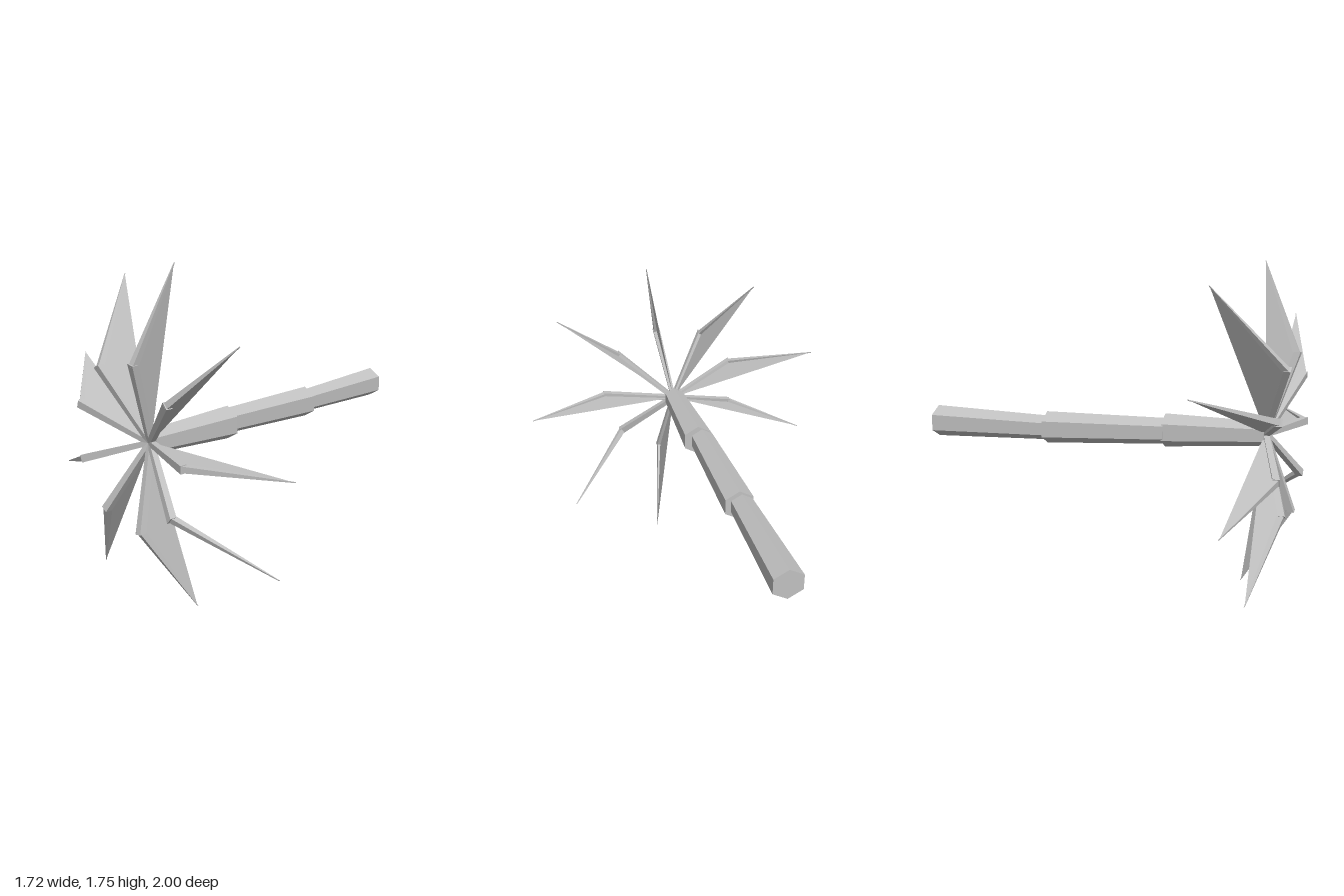
import * as THREE from 'three';

const grey = new THREE.MeshStandardMaterial({ color: 0xc0c0c0 });
grey.name = 'plain grey';
grey.flatShading = true;
const greyLeaf = grey;
greyLeaf.side = THREE.DoubleSide;

// Hexagonal trunk piece along z, sheared so its centre runs from a to b
function trunkPiece(a, ra, b, rb) {
  const len = b[2] - a[2];
  const g = new THREE.CylinderGeometry(rb, ra, len, 6).rotateX(Math.PI / 2);
  const p = g.attributes.position;
  for (let i = 0; i < p.count; i++) {
    const t = p.getZ(i) / len + 0.5;
    p.setXYZ(i,
      p.getX(i) + a[0] + (b[0] - a[0]) * t,
      p.getY(i) + a[1] + (b[1] - a[1]) * t,
      a[2] + len * t);
  }
  g.computeVertexNormals();
  return g;
}

// Four-sided bar between two sections { r, z, w, d }: radius, front z, width, depth
function bar(a, b) {
  const g = new THREE.BoxGeometry(1, 1, 1);
  const p = g.attributes.position;
  for (let i = 0; i < p.count; i++) {
    const s = p.getX(i) < 0 ? a : b;
    p.setXYZ(i, s.r, p.getY(i) * s.w, s.z - (0.5 - p.getZ(i)) * s.d);
  }
  g.computeVertexNormals();
  return g;
}

// Flat blade hanging in the plane of the rib
function blade(points) {
  const g = new THREE.BufferGeometry();
  g.setAttribute('position', new THREE.Float32BufferAttribute(
    points.flatMap(([r, z]) => [r, 0, z]), 3));
  g.setIndex([0, 1, 2]);
  g.computeVertexNormals();
  return g;
}

function add(parent, name, geometry, material = grey) {
  const m = new THREE.Mesh(geometry, material);
  m.name = name;
  parent.add(m);
  return m;
}

export function createModel() {
  const model = new THREE.Group();
  model.name = 'palmTree';

  // Trunk: three flared pieces lying along z
  const trunk = new THREE.Group();
  trunk.name = 'trunk';
  model.add(trunk);
  add(trunk, 'trunkBase', trunkPiece([-0.18, 0.848, -1], 0.088, [-0.14, 0.848, -0.33], 0.067));
  add(trunk, 'trunkMiddle', trunkPiece([-0.128, 0.848, -0.34], 0.088, [-0.085, 0.868, 0.33], 0.07));
  add(trunk, 'trunkTop', trunkPiece([-0.062, 0.868, 0.32], 0.09, [-0.03, 0.882, 0.85], 0.063));

  // Crown: nine fronds, each drooping by its own amount at the tip
  const tipZ = [0.75, 0.87, 0.79, 0.65, 0.67, 0.82, 0.86, 0.71, 0.64];
  tipZ.forEach((z, i) => {
    const frond = new THREE.Group();
    frond.name = `frond${i + 1}`;
    frond.position.set(-0.025, 0.88, 0);
    frond.rotation.z = i * Math.PI * 2 / 9;
    model.add(frond);
    add(frond, 'innerRib', bar(
      { r: 0, z: 0.865, w: 0.026, d: 0.03 },
      { r: 0.425, z: 1, w: 0.04, d: 0.035 }));
    add(frond, 'outerRib', bar(
      { r: 0.415, z: 0.997, w: 0.032, d: 0.035 },
      { r: 0.887, z, w: 0.004, d: 0.004 }));
    // The lowest side frond is a bare rib
    if (i !== 8) add(frond, 'blade', blade([[0.02, 0.845], [0.887, z], [0.425, 0.98]]), greyLeaf);
  });
  return model;
}
